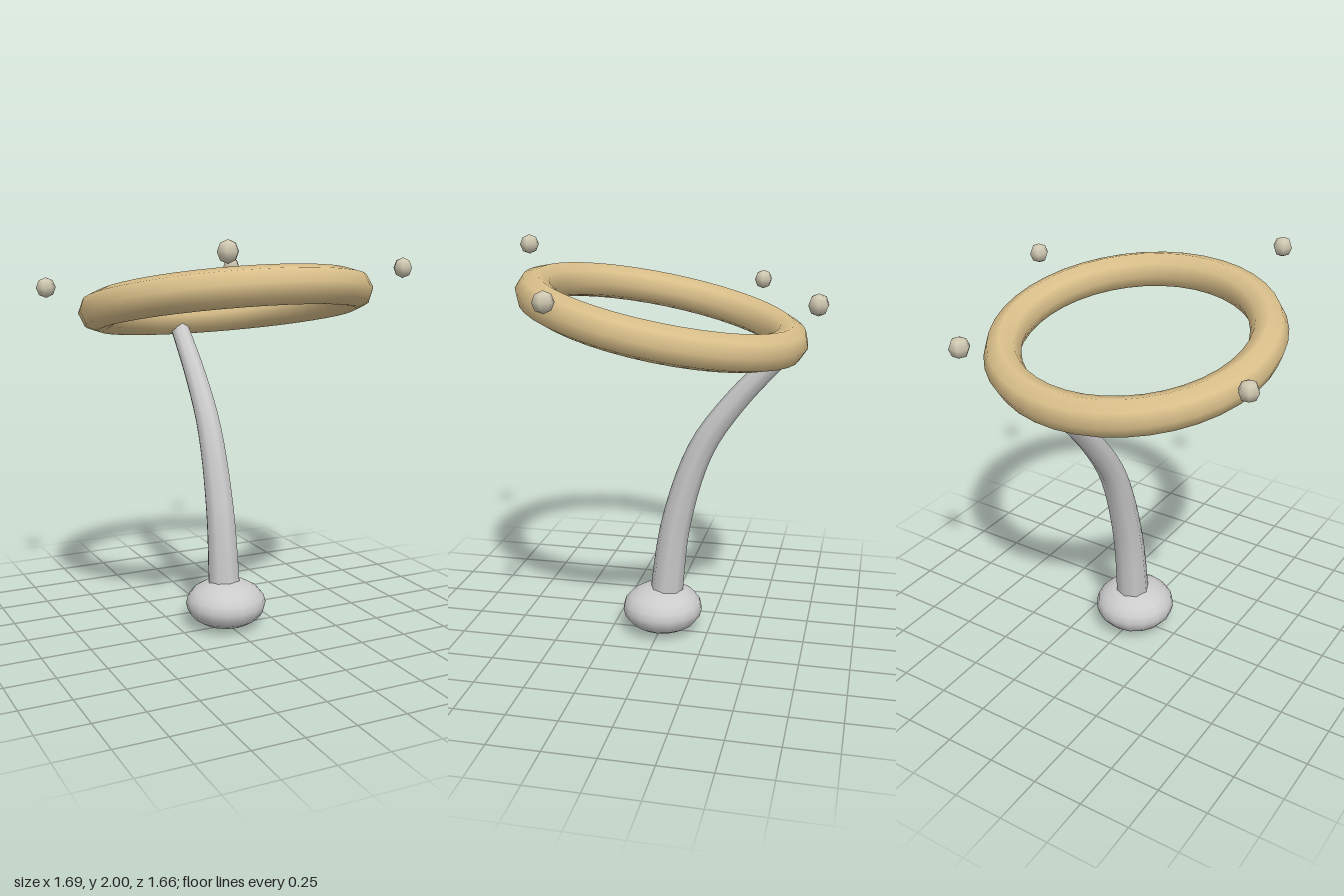
import * as THREE from 'three';

const material = (color) => new THREE.MeshStandardMaterial({ color });

// Tube along a curve whose radius shrinks evenly from r0 to r1
function taperedTube(curve, segments, r0, r1, sides) {
  const geo = new THREE.TubeGeometry(curve, segments, 1, sides, false);
  const pos = geo.attributes.position;
  const v = new THREE.Vector3();
  for (let i = 0; i <= segments; i++) {
    const t = i / segments;
    const centre = curve.getPointAt(t);
    const r = THREE.MathUtils.lerp(r0, r1, t);
    for (let j = 0; j <= sides; j++) {
      const k = i * (sides + 1) + j;
      v.fromBufferAttribute(pos, k).sub(centre).multiplyScalar(r).add(centre);
      pos.setXYZ(k, v.x, v.y, v.z);
    }
  }
  return geo;
}

export function createModel() {
  const model = new THREE.Group();
  model.name = 'ringOnStem';
  const grey = material(0xcccccc);
  const cx = -0.01;
  const cz = -0.01;

  const add = (name, geometry, mat, x, y, z) => {
    const mesh = new THREE.Mesh(geometry, mat);
    mesh.name = name;
    mesh.position.set(x, y, z);
    model.add(mesh);
    return mesh;
  };

  // Flattened round foot
  const foot = add('foot', new THREE.SphereGeometry(0.207, 16, 10), grey, cx, 0.125, cz);
  foot.scale.y = 0.6;

  // Stem bending backwards up to the ring
  const path = new THREE.CatmullRomCurve3(
    [[0.16, -0.025], [0.6, -0.08], [1.0, -0.205], [1.25, -0.37], [1.54, -0.63]]
      .map(([y, z]) => new THREE.Vector3(0, y, z)));
  const stemMaterial = grey.clone();
  stemMaterial.side = THREE.DoubleSide;
  add('stem', taperedTube(path, 20, 0.087, 0.048, 8), stemMaterial, cx, 0, 0);

  // Tilted ring, higher at the front
  const ringGeometry = new THREE.TorusGeometry(0.63, 0.09, 8, 40).rotateX(Math.PI / 2);
  const ring = add('ring', ringGeometry, material(0xd9bf8a), cx, 1.673, cz);
  ring.rotation.x = -0.2;

  // Small beads floating around the ring
  const beadGeometry = new THREE.SphereGeometry(0.05, 6, 4);
  const beadMaterial = material(0xd0c9b2);
  [
    [0.79, 1.84, 0.33],
    [-0.38, 1.95, 0.785],
    [-0.8, 1.745, -0.4],
    [0.395, 1.805, -0.785],
  ].forEach((p, i) => add(`bead${i + 1}`, beadGeometry, beadMaterial, ...p));

  return model;
}
